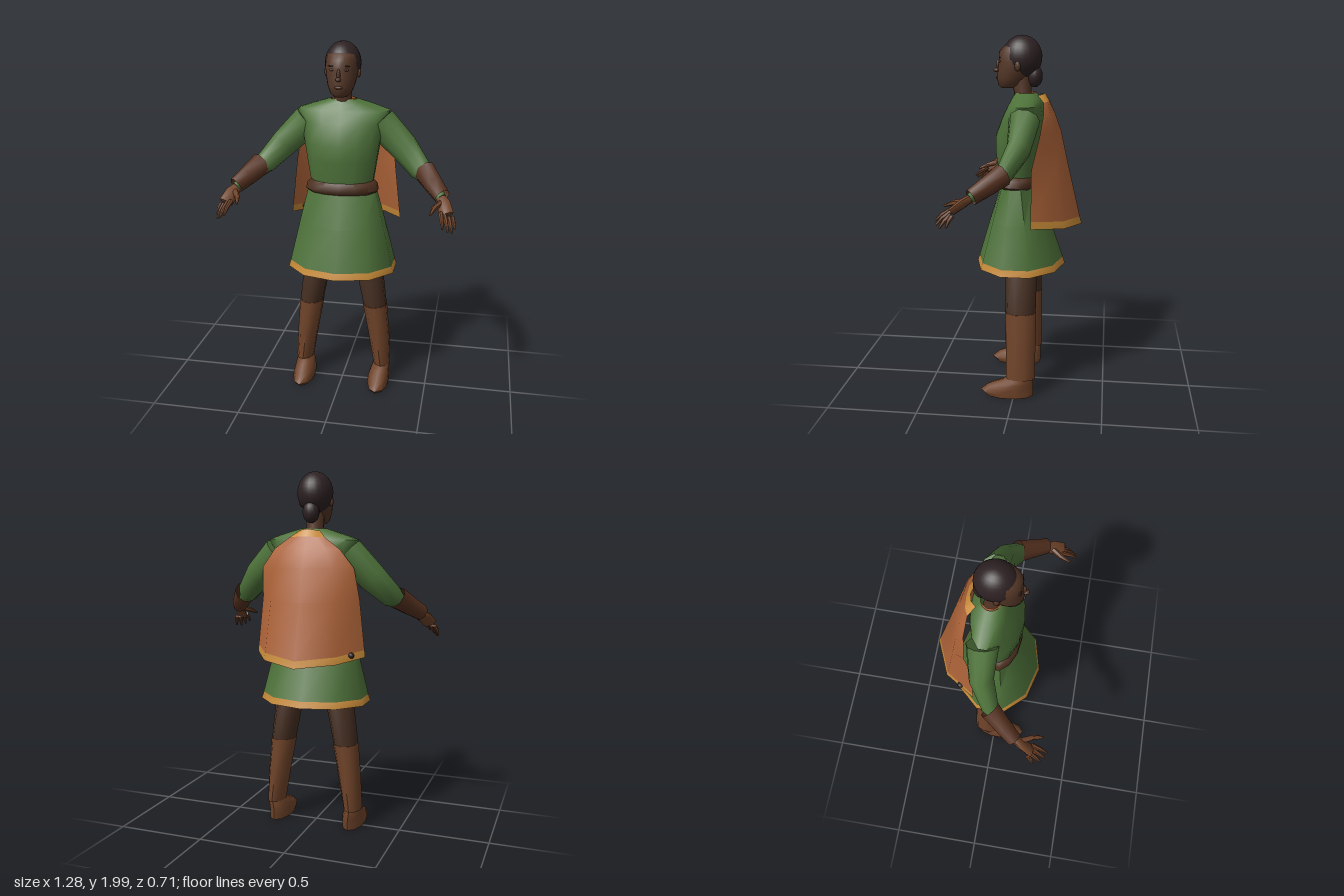
import * as THREE from 'three';
import { toCreasedNormals } from 'three/addons/utils/BufferGeometryUtils.js';

const mat = (name, color, side = THREE.FrontSide) => {
  const m = new THREE.MeshStandardMaterial({ color, side });
  m.name = name;
  return m;
};

// Skin a list of point rings into a surface
function loft(rings, closed = true, caps = true, crease = 0.9) {
  const n = rings[0].length, pos = [];
  const tri = (...p) => p.forEach(v => pos.push(v.x, v.y, v.z));
  for (let i = 0; i < rings.length - 1; i++) {
    for (let k = 0; k < (closed ? n : n - 1); k++) {
      const j = (k + 1) % n, lo = rings[i], hi = rings[i + 1];
      tri(lo[k], lo[j], hi[j]);
      tri(lo[k], hi[j], hi[k]);
    }
  }
  if (closed && caps) {
    [rings[0], rings[rings.length - 1]].forEach((r, end) => {
      const c = new THREE.Vector3();
      r.forEach(p => c.addScaledVector(p, 1 / n));
      for (let k = 0; k < n; k++) {
        const j = (k + 1) % n;
        if (end) tri(c, r[k], r[j]); else tri(c, r[j], r[k]);
      }
    });
  }
  const g = new THREE.BufferGeometry();
  g.setAttribute('position', new THREE.Float32BufferAttribute(pos, 3));
  return toCreasedNormals(g, crease);
}

// Level ellipse sections, bottom to top: [y, centreX, halfWidth, zFront, zBack]
function stack(sections, n, caps = true, crease = 0.9) {
  return loft(sections.map(([y, cx, rx, zf, zb]) => Array.from({ length: n }, (_, k) => {
    const a = k / n * Math.PI * 2;
    return new THREE.Vector3(cx + rx * Math.sin(a), y, (zf + zb) / 2 + (zf - zb) / 2 * Math.cos(a));
  })), true, caps, crease);
}

// Tapered limb along a path: [x, y, z, radiusA, radiusB]
function limb(stations, s, n, caps = true) {
  const pts = stations.map(([x, y, z]) => new THREE.Vector3(x * s, y, z));
  const Z = new THREE.Vector3(0, 0, 1);
  return loft(stations.map(([, , , ra, rb = ra], i) => {
    const t = pts[Math.min(i + 1, pts.length - 1)].clone().sub(pts[Math.max(i - 1, 0)]).normalize();
    const A = t.clone().cross(Z).normalize(), B = A.clone().cross(t);
    return Array.from({ length: n }, (_, k) => {
      const a = k / n * Math.PI * 2;
      return pts[i].clone().addScaledVector(A, ra * Math.sin(a)).addScaledVector(B, rb * Math.cos(a));
    });
  }), true, caps);
}

export function createModel() {
  const D = THREE.DoubleSide;
  const green = mat('tunic green', 0x4e723a, D);
  const orange = mat('cape orange', 0xae6439, D);
  const gold = mat('trim gold', 0xc68a38, D);
  const leather = mat('boot leather', 0x6f4329);
  const cloth = mat('trouser brown', 0x462f22);
  const bracerMat = mat('bracer leather', 0x573220, D);
  const beltMat = mat('belt brown', 0x4e3120);
  const skin = mat('skin', 0x543626);
  const hairMat = mat('hair', 0x2d2123);

  const model = new THREE.Group();
  const add = (name, geo, material) => {
    const m = new THREE.Mesh(geo, material);
    m.name = name;
    model.add(m);
    return m;
  };
  const ball = (name, material, x, y, z, rx, ry, rz, seg = 16) => {
    const m = add(name, new THREE.SphereGeometry(1, seg, Math.ceil(seg * 0.7)), material);
    m.position.set(x, y, z);
    m.scale.set(rx, ry, rz);
  };

  // Tunic body
  add('tunicBody', stack([
    [1.2, 0, 0.17, 0.1, -0.1], [1.37, 0, 0.196, 0.125, -0.125], [1.46, 0, 0.21, 0.127, -0.14],
    [1.57, 0, 0.235, 0.085, -0.15], [1.637, 0, 0.26, 0.05, -0.14], [1.667, 0, 0.17, 0.035, -0.125],
    [1.695, 0, 0.075, 0.018, -0.1],
  ], 14, false, 1.1), green);
  add('capeCollar', stack([[1.66, 0, 0.085, 0.035, -0.11], [1.698, 0, 0.066, 0.018, -0.1]], 10, false), orange);
  add('belt', stack([
    [1.185, 0, 0.19, 0.105, -0.105], [1.2, 0, 0.206, 0.12, -0.115],
    [1.235, 0, 0.198, 0.12, -0.115], [1.255, 0, 0.178, 0.105, -0.1],
  ], 14), beltMat);

  // Skirt with gold hem, open below
  add('skirt', stack([[0.772, 0, 0.306, 0.225, -0.253], [1.0, 0, 0.25, 0.157, -0.175],
    [1.2, 0, 0.198, 0.095, -0.1]], 10, false), green);
  add('skirtHem', stack([[0.735, 0, 0.317, 0.237, -0.265], [0.772, 0, 0.306, 0.225, -0.253]], 10, false), gold);

  // Cape: rows [edgeY, edgeX, edgeZ, midX, midZ, centreY, centreZ]
  const row = ([ye, xe, ze, xm, zm, yc, zc]) => [
    [xe, ye, ze], [xm, (ye + yc) / 2, zm], [0, yc, zc], [-xm, (ye + yc) / 2, zm], [-xe, ye, ze],
  ].map(p => new THREE.Vector3(...p));
  const c = [
    [1.01, 0.317, -0.1, 0.205, -0.27, 0.97, -0.357], [1.05, 0.312, -0.1, 0.202, -0.262, 1.01, -0.346],
    [1.32, 0.282, -0.1, 0.182, -0.222, 1.31, -0.275], [1.49, 0.262, -0.14, 0.165, -0.2, 1.49, -0.235],
    [1.59, 0.185, -0.152, 0.12, -0.184, 1.58, -0.203],
    [1.65, 0.1, -0.145, 0.06, -0.164, 1.655, -0.168], [1.685, 0.06, -0.11, 0.035, -0.138, 1.695, -0.145],
  ].map(row);
  add('capeHem', loft(c.slice(0, 2), false), gold);
  add('cape', loft(c.slice(1, 6), false), orange);
  add('capeNeckTrim', loft(c.slice(5), false), gold);
  ball('capeWeight', hairMat, -0.262, 1.03, -0.18, 0.018, 0.016, 0.018, 8);

  // Neck and head
  add('neck', stack([[1.62, 0, 0.055, 0.02, -0.085], [1.7, 0, 0.047, 0.025, -0.07],
    [1.79, 0, 0.05, 0.05, -0.07]], 12), skin);
  add('face', stack([
    [1.72, 0, 0.036, 0.095, 0.02], [1.738, 0, 0.056, 0.112, -0.02], [1.775, 0, 0.072, 0.117, -0.05],
    [1.82, 0, 0.082, 0.114, -0.08], [1.86, 0, 0.087, 0.108, -0.09], [1.91, 0, 0.085, 0.106, -0.09],
    [1.935, 0, 0.078, 0.086, -0.08], [1.96, 0, 0.06, 0.05, -0.07],
  ], 18, true, 1.2), skin);
  ball('noseBridge', skin, 0, 1.838, 0.112, 0.01, 0.032, 0.012, 10);
  ball('noseTip', skin, 0, 1.815, 0.12, 0.015, 0.012, 0.018, 10);
  ball('lips', beltMat, 0, 1.773, 0.115, 0.022, 0.009, 0.008, 8);
  ball('hairCap', hairMat, 0, 1.885, -0.02, 0.097, 0.115, 0.108, 24);
  ball('hairBun', hairMat, 0, 1.784, -0.088, 0.046, 0.06, 0.043);

  for (const s of [1, -1]) {
    const side = s > 0 ? 'left' : 'right';
    const part = (name, geo, material) => add(side + name, geo, material);

    // Face details
    ball(side + 'Ear', skin, s * 0.088, 1.84, -0.005, 0.011, 0.028, 0.017, 8);
    ball(side + 'Eye', leather, s * 0.037, 1.862, 0.097, 0.015, 0.007, 0.006, 8);
    ball(side + 'Pupil', hairMat, s * 0.037, 1.862, 0.1, 0.006, 0.006, 0.005, 8);
    ball(side + 'Brow', hairMat, s * 0.038, 1.882, 0.097, 0.02, 0.003, 0.005, 8);

    // Sleeve, running on under the bracer to the wrist
    part('Sleeve', limb([
      [0.2, 1.568, -0.055, 0.09, 0.083], [0.333, 1.437, -0.04, 0.08, 0.064],
      [0.435, 1.328, 0.02, 0.062, 0.045], [0.47, 1.3, 0.06, 0.035, 0.03], [0.56, 1.225, 0.175, 0.027, 0.024],
    ], s, 10), green);
    part('Bracer', limb([[0.452, 1.328, 0.022, 0.064, 0.055], [0.515, 1.272, 0.105, 0.053, 0.047],
      [0.562, 1.232, 0.168, 0.045, 0.04]], s, 8, false), bracerMat);

    // Hand with fingers and thumb
    part('Palm', limb([[0.553, 1.23, 0.165, 0.024, 0.02], [0.572, 1.205, 0.205, 0.037, 0.022],
      [0.592, 1.163, 0.262, 0.039, 0.017]], s, 8), leather);
    [
      [0.562, 1.172, 0.262, 0.578, 1.114, 0.346], [0.582, 1.162, 0.265, 0.604, 1.098, 0.338],
      [0.602, 1.153, 0.26, 0.624, 1.086, 0.318], [0.62, 1.152, 0.25, 0.638, 1.094, 0.28],
    ].forEach(([x, y, z, u, v, w], i) => part('Finger' + (i + 1), limb([
      [x, y, z, 0.013], [x * 0.45 + u * 0.55, y * 0.45 + v * 0.55 + 0.008, z * 0.45 + w * 0.55, 0.011], [u, v, w, 0.005],
    ], s, 6), leather));
    part('Thumb', limb([[0.56, 1.21, 0.2, 0.017], [0.527, 1.195, 0.26, 0.014], [0.513, 1.175, 0.312, 0.006]], s, 6), leather);

    // Leg: trousers tucked into a tall boot
    part('Trouser', stack([
      [0.49, s * 0.19, 0.068, 0.052, -0.118], [0.74, s * 0.15, 0.078, 0.058, -0.12],
      [0.95, s * 0.115, 0.03, 0.02, -0.06],
    ], 10), cloth);
    part('BootShaft', stack([
      [0.12, s * 0.235, 0.05, 0.045, -0.12], [0.3, s * 0.215, 0.061, 0.047, -0.12], [0.5, s * 0.188, 0.071, 0.055, -0.121],
    ], 10), leather);
    part('BootFoot', stack([
      [0.008, s * 0.225, 0.06, 0.165, -0.108], [0.033, s * 0.225, 0.063, 0.192, -0.11], [0.068, s * 0.225, 0.06, 0.15, -0.11],
      [0.1, s * 0.23, 0.052, 0.07, -0.11], [0.13, s * 0.234, 0.042, 0.035, -0.105],
    ], 10), leather);
  }
  return model;
}
